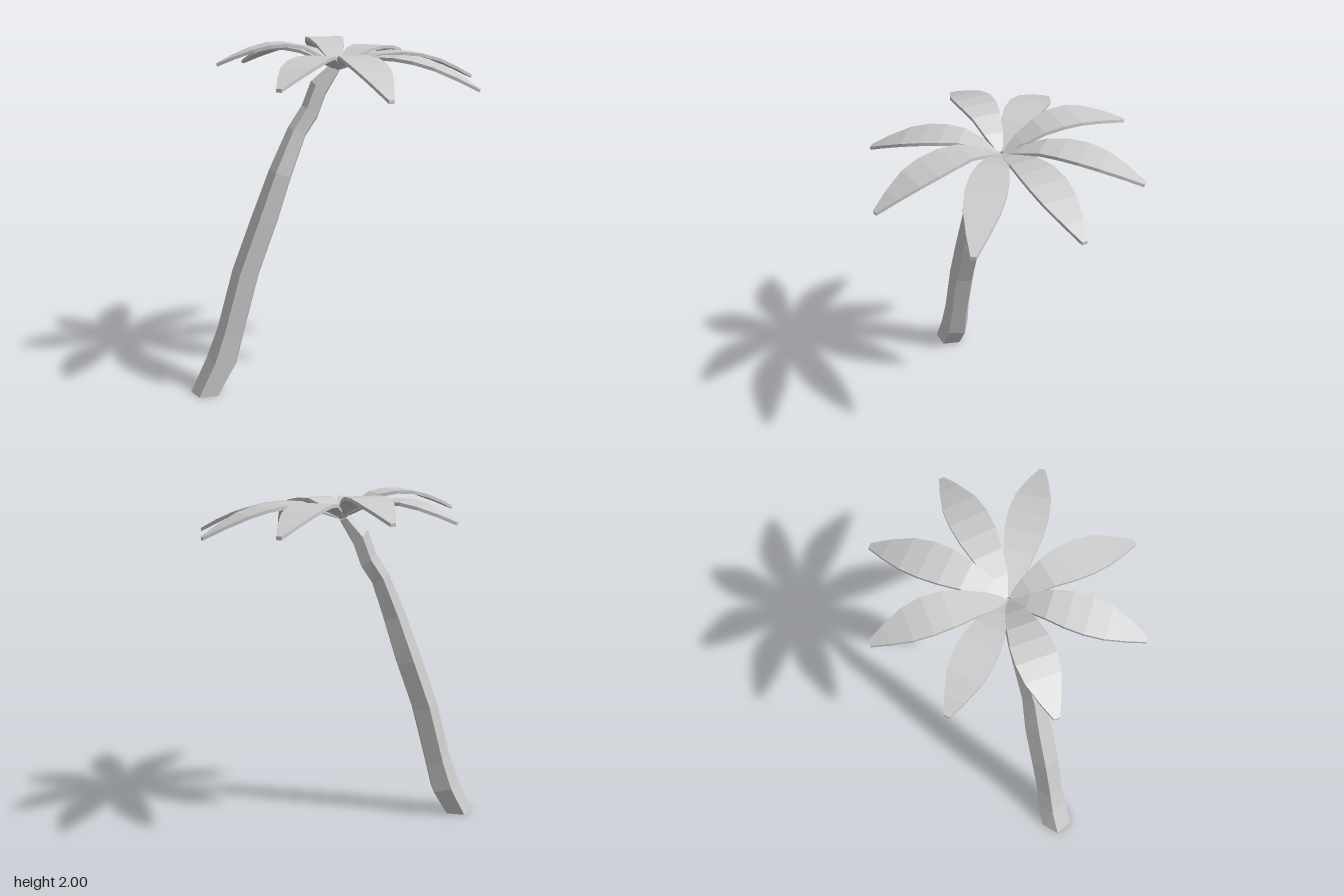
import * as THREE from 'three';

const material = new THREE.MeshStandardMaterial({
  color: 0xcccccc, flatShading: true, side: THREE.DoubleSide,
});

// Skins a list of equal-sized rings (right-handed about the path) and caps both ends.
function loft(name, rings) {
  const n = rings[0].length;
  const index = [];
  for (let i = 0; i < rings.length - 1; i++) {
    for (let j = 0; j < n; j++) {
      const a = i * n + j, b = i * n + (j + 1) % n;
      index.push(a, b, b + n, a, b + n, a + n);
    }
  }
  const last = (rings.length - 1) * n;
  for (let j = 1; j < n - 1; j++) {
    index.push(0, j + 1, j, last, last + j, last + j + 1);
  }
  const indexed = new THREE.BufferGeometry().setFromPoints(rings.flat());
  indexed.setIndex(index);
  const geometry = indexed.toNonIndexed();
  geometry.computeVertexNormals();
  const mesh = new THREE.Mesh(geometry, material);
  mesh.name = name;
  return mesh;
}

// Leaning five-sided trunk; each row is centre x, y, z, radius, tilt (y per x).
function makeTrunk() {
  const rows = [
    [-0.75, 0, -0.025, 0.092, 0],
    [-0.655, 0.18, -0.025, 0.09, -0.3],
    [-0.6, 0.36, -0.02, 0.079, -0.3],
    [-0.505, 0.705, -0.02, 0.08, -0.22],
    [-0.395, 1.0, -0.018, 0.079, -0.22],
    [-0.3, 1.27, -0.012, 0.066, -0.4],
    [-0.2, 1.5, -0.03, 0.052, -0.55],
    [-0.125, 1.61, -0.033, 0.047, -0.8],
    [-0.075, 1.74, -0.033, 0.045, -0.9],
    [0.015, 1.85, -0.025, 0.03, -0.6],
  ];
  return loft('trunk', rows.map(([x, y, z, r, tilt]) =>
    Array.from({ length: 5 }, (_, k) => {
      const a = Math.PI + k * Math.PI * 0.4;
      const dx = r * Math.sin(a);
      return new THREE.Vector3(x + dx, y + tilt * dx, z + r * Math.cos(a));
    })));
}

// Drooping leaf blade: tip position in plan, and heights along its length.
const HUB = { x: 0.03, y: 1.86, z: -0.015 };
const WIDTHS = [0.03, 0.105, 0.16, 0.2, 0.21, 0.185, 0.11, 0.03];

function makeFrond(name, tipX, tipZ, heights) {
  const out = new THREE.Vector3(tipX - HUB.x, 0, tipZ - HUB.z);
  const length = out.length();
  out.normalize();
  const side = new THREE.Vector3(out.z, 0, -out.x);
  const profile = new THREE.SplineCurve([HUB.y, ...heights].map(
    (y, i) => new THREE.Vector2(0.01 + (length - 0.01) * i / 4, y)));
  const thickness = 0.018;
  const rings = WIDTHS.map((w, i) => {
    const p = profile.getPoint(i / (WIDTHS.length - 1));
    const centre = new THREE.Vector3(HUB.x, p.y, HUB.z).addScaledVector(out, p.x);
    const corner = (s, down) => {
      const v = centre.clone().addScaledVector(side, s * w / 2);
      v.y -= down;
      return v;
    };
    return [corner(1, thickness), corner(1, 0), corner(-1, 0), corner(-1, thickness)];
  });
  return loft(name, rings);
}

export function createModel() {
  const palm = new THREE.Group();
  palm.name = 'palmTree';
  palm.add(makeTrunk());

  const crown = new THREE.Group();
  crown.name = 'crown';
  const fronds = [
    ['frondLeft', 0.835, -0.055, [1.925, 1.935, 1.885, 1.79]],
    ['frondFrontLeft', 0.685, 0.46, [1.92, 1.92, 1.87, 1.77]],
    ['frondFront', 0.11, 0.73, [1.935, 1.925, 1.87, 1.76]],
    ['frondFrontRight', -0.42, 0.54, [1.93, 1.93, 1.89, 1.81]],
    ['frondRight', -0.64, -0.05, [1.97, 1.995, 1.96, 1.89]],
    ['frondBackRight', -0.415, -0.525, [1.94, 1.96, 1.93, 1.86]],
    ['frondBack', 0.065, -0.735, [1.96, 1.998, 1.97, 1.9]],
    ['frondBackLeft', 0.59, -0.545, [1.94, 1.955, 1.92, 1.84]],
  ];
  for (const frond of fronds) crown.add(makeFrond(...frond));
  palm.add(crown);
  return palm;
}
